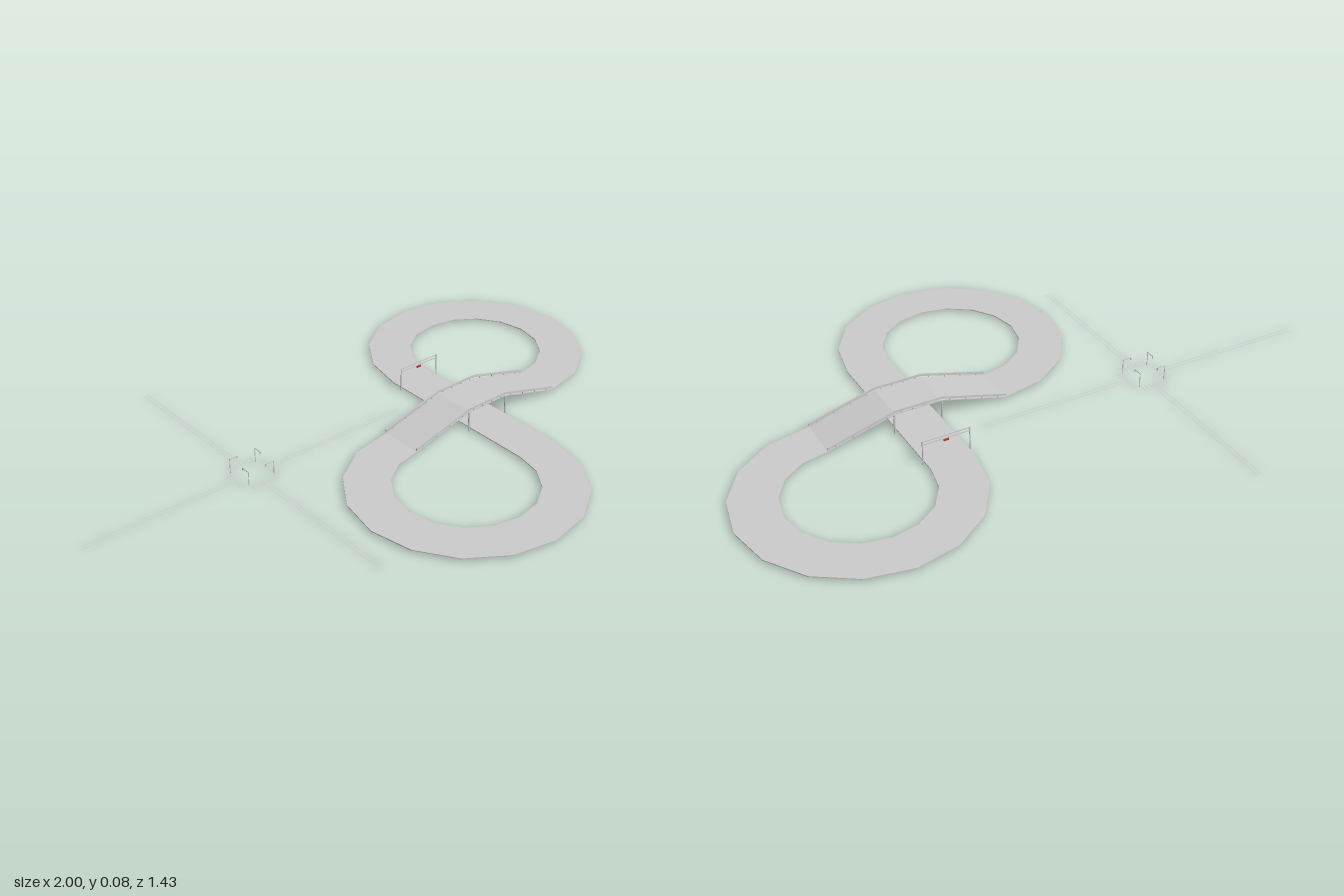
import * as THREE from 'three';

const grey = new THREE.MeshStandardMaterial({ color: 0xcccccc, flatShading: true, side: THREE.DoubleSide });
const red = grey.clone();
red.color.set(0xcc3333);

const WIDTH = 0.145, RADIUS = 0.2975; // road width and centre-line radius of the loops
const ROAD_Y = 0.007, ROAD_T = 0.003;

function add(parent, name, geometry, x = 0, y = 0, z = 0, material = grey) {
  const mesh = new THREE.Mesh(geometry, material);
  mesh.name = name;
  mesh.position.set(x, y, z);
  parent.add(mesh);
  return mesh;
}

function subGroup(parent, name, x = 0, y = 0, z = 0) {
  const group = new THREE.Group();
  group.name = name;
  group.position.set(x, y, z);
  parent.add(group);
  return group;
}

const box = (w, h, d) => new THREE.BoxGeometry(w, h, d);

function pole(parent, name, x, z, height, radius) {
  add(parent, name, new THREE.CylinderGeometry(radius, radius, height, 6), x, height / 2, z);
}

// Three-quarter ring of flat road
function loopGeometry(start) {
  const segments = 12, points = [];
  for (const [r, reverse] of [[RADIUS + WIDTH / 2, false], [RADIUS - WIDTH / 2, true]]) {
    for (let i = 0; i <= segments; i++) {
      const a = start + (reverse ? segments - i : i) / segments * Math.PI * 1.5;
      points.push(new THREE.Vector2(Math.cos(a) * r, Math.sin(a) * r));
    }
  }
  return new THREE.ExtrudeGeometry(new THREE.Shape(points), { depth: ROAD_T, bevelEnabled: false }).rotateX(-Math.PI / 2);
}

// Bridge profile: ramp, level span, ramp
const PROFILE = [[0.03, 0.01], [0.25, 0.07], [0.405, 0.07], [0.625, 0.01]];

// Band that follows the bridge profile between two heights above it
function profileBand(low, high, depth) {
  const outline = [
    ...PROFILE.map(([x, y]) => new THREE.Vector2(x, y + low)),
    ...PROFILE.map(([x, y]) => new THREE.Vector2(x, y + high)).reverse(),
  ];
  return new THREE.ExtrudeGeometry(new THREE.Shape(outline), { depth, bevelEnabled: false });
}

function buildTrack(root) {
  const track = subGroup(root, 'track');
  add(track, 'rearLoop', loopGeometry(-Math.PI / 2), 0.625, ROAD_Y, -0.25);
  add(track, 'frontLoop', loopGeometry(Math.PI / 2), 0.03, ROAD_Y, 0.345);
  add(track, 'underpassRoad', box(WIDTH, ROAD_T, 0.595), 0.3275, ROAD_Y + ROAD_T / 2, 0.0475);
}

function buildBridge(root) {
  const bridge = subGroup(root, 'bridge');
  add(bridge, 'bridgeDeck', profileBand(-0.003, 0, WIDTH), 0, 0, -0.025);
  for (const z of [-0.025, 0.12]) {
    add(bridge, 'guardRail', profileBand(0.005, 0.013, 0.004), 0, 0, z - 0.002);
    // Short posts carrying the rail
    for (let s = 0; s < 3; s++) {
      const [x0, y0] = PROFILE[s], [x1, y1] = PROFILE[s + 1];
      for (let i = 0; i < 4; i++) {
        const t = (i + 0.5) / 4;
        add(bridge, 'railPost', box(0.003, 0.01, 0.003), x0 + (x1 - x0) * t, y0 + (y1 - y0) * t + 0.004, z);
      }
    }
    for (const x of [0.25, 0.408]) pole(bridge, 'bridgePillar', x, z, 0.068, 0.003);
  }
}

// Gate over the road with a hanging lamp
function buildGantry(root) {
  const gantry = subGroup(root, 'gantry', 0.3275, 0, -0.208);
  for (const x of [-0.077, 0.077]) pole(gantry, 'gantryPost', x, 0, 0.083, 0.002);
  for (const y of [0.071, 0.081]) add(gantry, 'gantryBeam', box(0.156, 0.003, 0.003), 0, y, 0);
  add(gantry, 'gantryLamp', box(0.016, 0.007, 0.004), 0, 0.065, 0, red);
}

function buildCrossing(root) {
  const crossing = subGroup(root, 'crossing', -0.418, 0, -0.12);
  // Four identical arms turned about the centre
  for (let i = 0; i < 4; i++) {
    const arm = subGroup(crossing, 'crossingArm');
    arm.rotation.y = i * Math.PI / 2;
    const far = i % 2 ? 0.584 : 0.6, near = 0.085;
    for (const x of [-0.0065, 0.0065]) {
      const line = new THREE.PlaneGeometry(0.003, far - near).rotateX(-Math.PI / 2);
      add(arm, 'centreLine', line, x, 0.001, (far + near) / 2);
    }
    for (let k = -3; k <= 3; k++) {
      const stripe = new THREE.PlaneGeometry(0.005, 0.024).rotateX(-Math.PI / 2);
      add(arm, 'crosswalkStripe', stripe, k * 0.014, 0.001, 0.062);
    }
    // Signal mast reaching over the lane
    pole(arm, 'signalMast', 0.048, 0.046, 0.05, 0.0012);
    add(arm, 'signalArm', box(0.03, 0.002, 0.002), 0.034, 0.049, 0.046);
    add(arm, 'signalHead', box(0.003, 0.008, 0.003), 0.02, 0.046, 0.046);
  }
}

export function createModel() {
  const root = new THREE.Group();
  root.name = 'roadLayout';
  buildTrack(root);
  buildBridge(root);
  buildGantry(root);
  buildCrossing(root);
  return root;
}
